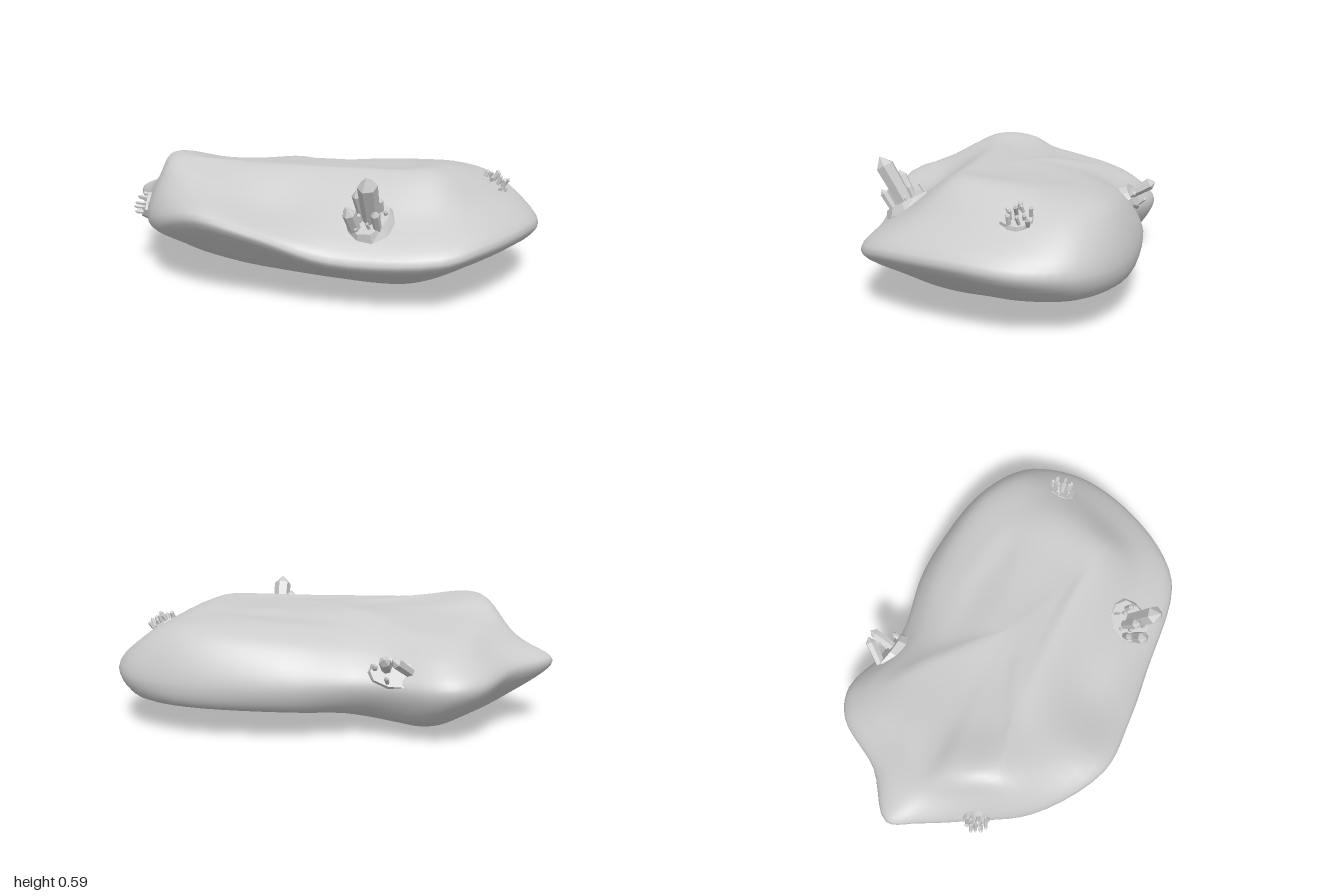
import * as THREE from 'three';

const V = (x, y, z) => new THREE.Vector3(x, y, z);
const smooth = new THREE.MeshStandardMaterial({ color: 0xcccccc });
const faceted = new THREE.MeshStandardMaterial({ color: 0xcccccc, flatShading: true });

// Widest outline of the rock, clockwise from the right tip: x, y, z, bulge of the slope above
const RIM = [
  [-1, .3, .17, -.01], [-.87, .28, -.06, .02], [-.8, .26, -.34, .03], [-.68, .25, -.45, .03],
  [-.33, .25, -.46, .03], [.02, .25, -.64, .07], [.5, .25, -.74, .11], [.8, .25, -.675, .09],
  [.955, .26, -.48, .04], [1, .28, -.2, .01], [.95, .27, .15, 0], [.84, .24, .34, 0],
  [.42, .23, .54, .01], [.13, .32, .66, -.04], [-.15, .38, .74, .01], [-.5, .28, .63, .07],
  [-.72, .24, .44, .05], [-.9, .28, .28, 0],
];
// Edge of the top, in the same order: x, y, z
const TOP = [
  [-.68, .49, .15], [-.66, .46, -.03], [-.62, .435, -.2], [-.55, .42, -.28],
  [-.28, .43, -.28], [.05, .475, -.4], [.4, .505, -.45], [.52, .51, -.42],
  [.6, .525, -.32], [.63, .54, -.15], [.62, .545, -.02], [.55, .54, .05],
  [.3, .54, .12], [0, .54, .22], [-.27, .54, .33], [-.5, .565, .43],
  [-.6, .565, .36], [-.66, .54, .25],
];

// Pulls a ring towards a centre and evens out its heights over w neighbours on each side
function innerRing(ring, centre, t, w) {
  const n = ring.length;
  return ring.map((p, i) => {
    let y = 0;
    for (let k = -w; k <= w; k++) y += ring[(i + k + n) % n].y / (2 * w + 1);
    return V(p.x, y, p.z).lerp(centre, t);
  });
}

// Rock: closed rings from the underside to the top, joined by smooth curves
function rockGeometry() {
  const rim = RIM.map(([x, y, z]) => V(x, y, z));
  const top = TOP.map(p => V(...p));
  // The back wall is blunt, the other sides taper above and below
  const back = rim.map(p => Math.max(0, -p.z / .74) ** 2);
  const shelf = rim.map((p, i) =>
    p.clone().lerp(top[i], .5 - .15 * back[i]).add(V(0, RIM[i][3], 0)));
  const bottom = rim.map(p => {
    const x = p.x * .62, z = -.05 + (p.z + .05) * .62;
    const lump = .055 * Math.exp(-((x + .45) ** 2 + (z + .1) ** 2) / .035);
    return V(x, .042 + .35 * z * z - lump, z);
  });
  const lower = rim.map((p, i) => {
    const q = p.clone().lerp(bottom[i], .5 - .4 * back[i]);
    q.y = p.y + (bottom[i].y - p.y) * (.62 + .18 * back[i]);
    return q;
  });
  const low = V(-.15, .02, -.07), high = V(0, .53, -.03);
  const rings = [
    innerRing(bottom, low, .7, 4), innerRing(bottom, low, .35, 1), bottom, lower, rim,
    shelf, top, innerRing(top, high, .35, 2), innerRing(top, high, .7, 5),
  ];
  const around = 90, up = 60, pos = [], index = [];
  const curves = rings.map(r => new THREE.CatmullRomCurve3(r, true));
  for (let i = 0; i < around; i++) {
    const meridian = new THREE.CatmullRomCurve3(
      [low, ...curves.map(c => c.getPoint(i / around)), high]);
    for (let j = 0; j <= up; j++) {
      pos.push(...meridian.getPoint(j / up).toArray());
      if (j === up) continue;
      const a = i * (up + 1) + j, b = ((i + 1) % around) * (up + 1) + j;
      index.push(a, a + 1, b, b, a + 1, b + 1);
    }
  }
  const g = new THREE.BufferGeometry();
  g.setAttribute('position', new THREE.Float32BufferAttribute(pos, 3));
  g.setIndex(index);
  g.computeVertexNormals();
  return g;
}

function seeded(seed) {
  return () => (seed = (seed * 16807) % 2147483647) / 2147483647;
}

// Six-sided pointed crystal standing on y = 0
function crystal(x, z, length, r, leanX = 0, leanZ = 0) {
  const profile = [[r * .85, -.03], [r, length - r * 1.1], [0, length]];
  const g = new THREE.LatheGeometry(profile.map(p => new THREE.Vector2(...p)), 6);
  const mesh = new THREE.Mesh(g, faceted);
  mesh.name = 'crystal';
  mesh.position.set(x, 0, z);
  mesh.quaternion.setFromUnitVectors(V(0, 1, 0), V(leanX, 1, leanZ).normalize());
  return mesh;
}

// Irregular faceted plate under a cluster
function plate(rx, rz, rnd) {
  const n = 10, g = new THREE.CylinderGeometry(.85, 1, .04, n);
  const wobble = Array.from({ length: n }, () => .88 + .24 * rnd());
  const p = g.attributes.position;
  for (let i = 0; i < p.count; i++) {
    const x = p.getX(i), z = p.getZ(i);
    const k = wobble[(Math.round(Math.atan2(z, x) / (2 * Math.PI) * n) + n) % n];
    p.setXYZ(i, x * k * rx, p.getY(i) - .008, z * k * rz);
  }
  const mesh = new THREE.Mesh(g, faceted);
  mesh.name = 'clusterBase';
  return mesh;
}

function cluster(name, position, normal, rx, rz, seed, crystals, small) {
  const group = new THREE.Group(), rnd = seeded(seed);
  group.name = name;
  group.position.copy(position);
  group.quaternion.setFromUnitVectors(V(0, 1, 0), normal.normalize());
  group.add(plate(rx, rz, rnd));
  crystals.forEach(c => group.add(crystal(...c)));
  // Small crystals scattered over the plate
  for (let i = 0; i < small; i++) {
    const a = i * 2.4, d = .75 * Math.sqrt((i + .5) / small);
    group.add(crystal(Math.cos(a) * d * rx, Math.sin(a) * d * rz, .035 + .035 * rnd(),
      .007 + .005 * rnd(), (rnd() - .5) * .5, (rnd() - .5) * .5));
  }
  return group;
}

export function createModel() {
  const model = new THREE.Group();
  model.name = 'crystalRock';
  const rock = new THREE.Mesh(rockGeometry(), smooth);
  rock.name = 'rock';
  model.add(rock);

  model.add(
    cluster('largeFrontCluster', V(.49, .375, .33), V(.03, .87, .47), .115, .135, 11, [
      [.015, 0, .25, .044, .12, 0], [-.03, .07, .13, .03, -.05, .05], [-.03, -.01, .16, .026],
      [-.065, .03, .09, .018, -.15, 0], [.065, .04, .11, .02, .1, .05],
      [.03, -.06, .08, .015, .05, -.1],
    ], 8),
    cluster('backCluster', V(-.42, .31, -.42), V(-.17, .5, -.85), .135, .075, 23, [
      [-.075, .02, .15, .026, .5, 0], [.03, .01, .145, .026, -.05, 0], [.08, 0, .05, .014],
    ], 3),
    cluster('leftCluster', V(.765, .437, -.385), V(.45, .9, -.1), .078, .078, 37, [], 11),
    cluster('rightCluster', V(-.7, .305, .46), V(-.65, .3, .7), .07, .07, 51, [], 11),
  );
  return model;
}
